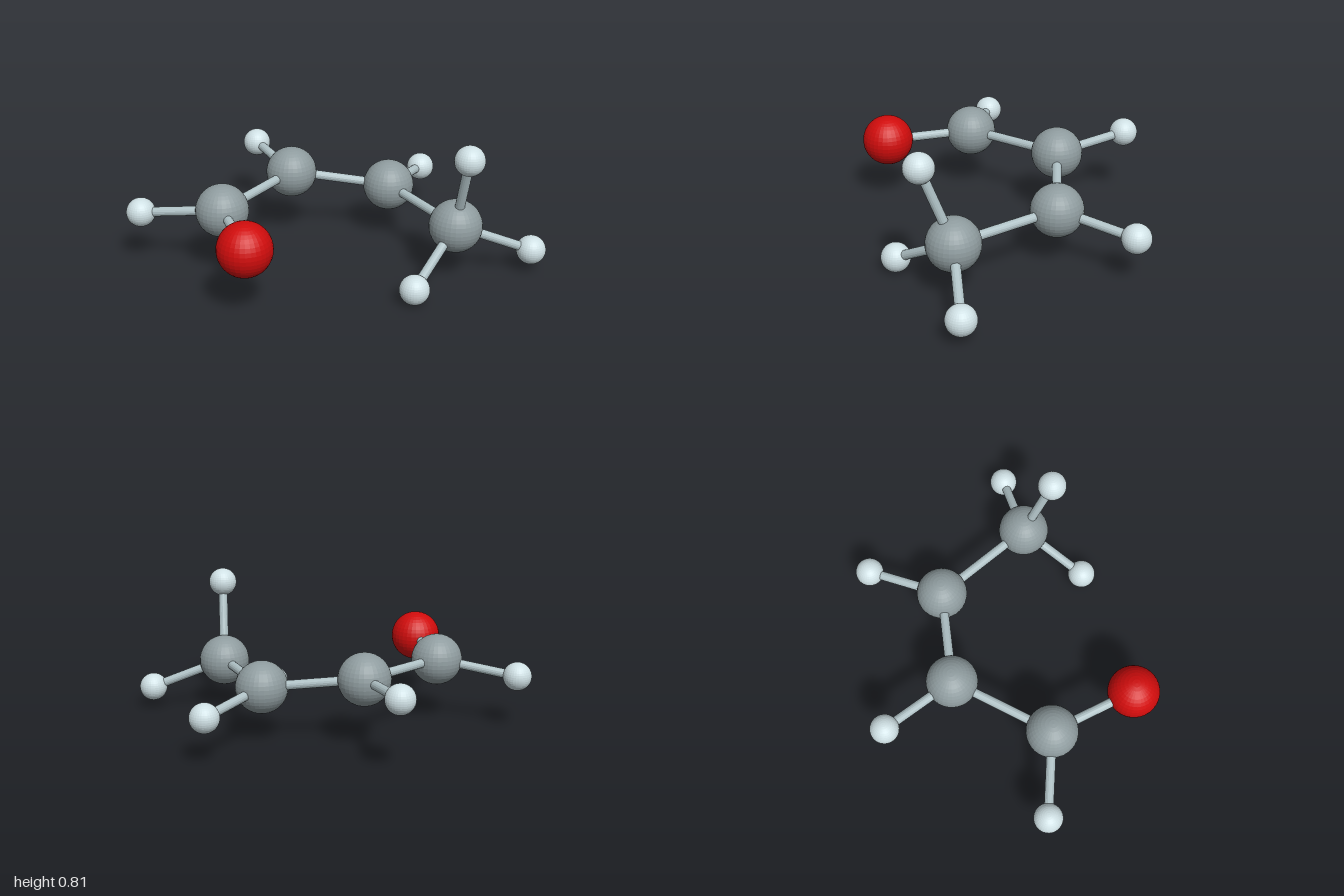
import * as THREE from 'three';

const material = (color) => new THREE.MeshStandardMaterial({ color, flatShading: true });

// Atom kinds: radius and colour
const kinds = {
  carbon: { radius: 0.144, material: material(0x8f9c9f) },
  oxygen: { radius: 0.144, material: material(0xd00c0c) },
  hydrogen: { radius: 0.08, material: material(0xcfe0e4) },
};
const bondMaterial = material(0xb0c2c6);
const BOND_RADIUS = 0.026;

// Atom centres
const atoms = {
  endCarbon: ['carbon', -0.565, 0.365, -0.035],
  oxygen: ['oxygen', -0.652, 0.372, 0.46],
  middleCarbon: ['carbon', -0.018, 0.385, -0.31],
  sideCarbon: ['carbon', 0.468, 0.313, -0.035],
  methylCarbon: ['carbon', 0.516, 0.3, 0.585],
  endHydrogen: ['hydrogen', -0.922, 0.31, -0.33],
  middleHydrogen: ['hydrogen', -0.03, 0.415, -0.763],
  sideHydrogen: ['hydrogen', 0.844, 0.265, -0.285],
  methylHydrogenRight: ['hydrogen', 0.16, 0.085, 0.757],
  methylHydrogenLeft: ['hydrogen', 0.914, 0.133, 0.735],
  methylHydrogenTop: ['hydrogen', 0.474, 0.733, 0.738],
};

// Pairs of atoms joined by a rod
const bonds = [
  ['endCarbon', 'oxygen'],
  ['endCarbon', 'middleCarbon'],
  ['middleCarbon', 'sideCarbon'],
  ['sideCarbon', 'methylCarbon'],
  ['endCarbon', 'endHydrogen'],
  ['middleCarbon', 'middleHydrogen'],
  ['sideCarbon', 'sideHydrogen'],
  ['methylCarbon', 'methylHydrogenRight'],
  ['methylCarbon', 'methylHydrogenLeft'],
  ['methylCarbon', 'methylHydrogenTop'],
];

const centre = (name) => new THREE.Vector3(...atoms[name].slice(1));

function makeAtom(name) {
  const kind = kinds[atoms[name][0]];
  const mesh = new THREE.Mesh(new THREE.SphereGeometry(kind.radius, 32, 20), kind.material);
  mesh.position.copy(centre(name));
  mesh.name = name;
  return mesh;
}

function makeBond([from, to]) {
  const a = centre(from);
  const b = centre(to);
  const direction = b.clone().sub(a);
  const rod = new THREE.CylinderGeometry(BOND_RADIUS, BOND_RADIUS, direction.length(), 16);
  const mesh = new THREE.Mesh(rod, bondMaterial);
  mesh.position.copy(a).lerp(b, 0.5);
  mesh.quaternion.setFromUnitVectors(new THREE.Vector3(0, 1, 0), direction.normalize());
  mesh.name = `bond ${from} to ${to}`;
  return mesh;
}

export function createModel() {
  const model = new THREE.Group();
  model.name = 'ballAndStickMolecule';
  for (const name of Object.keys(atoms)) model.add(makeAtom(name));
  for (const pair of bonds) model.add(makeBond(pair));
  return model;
}
